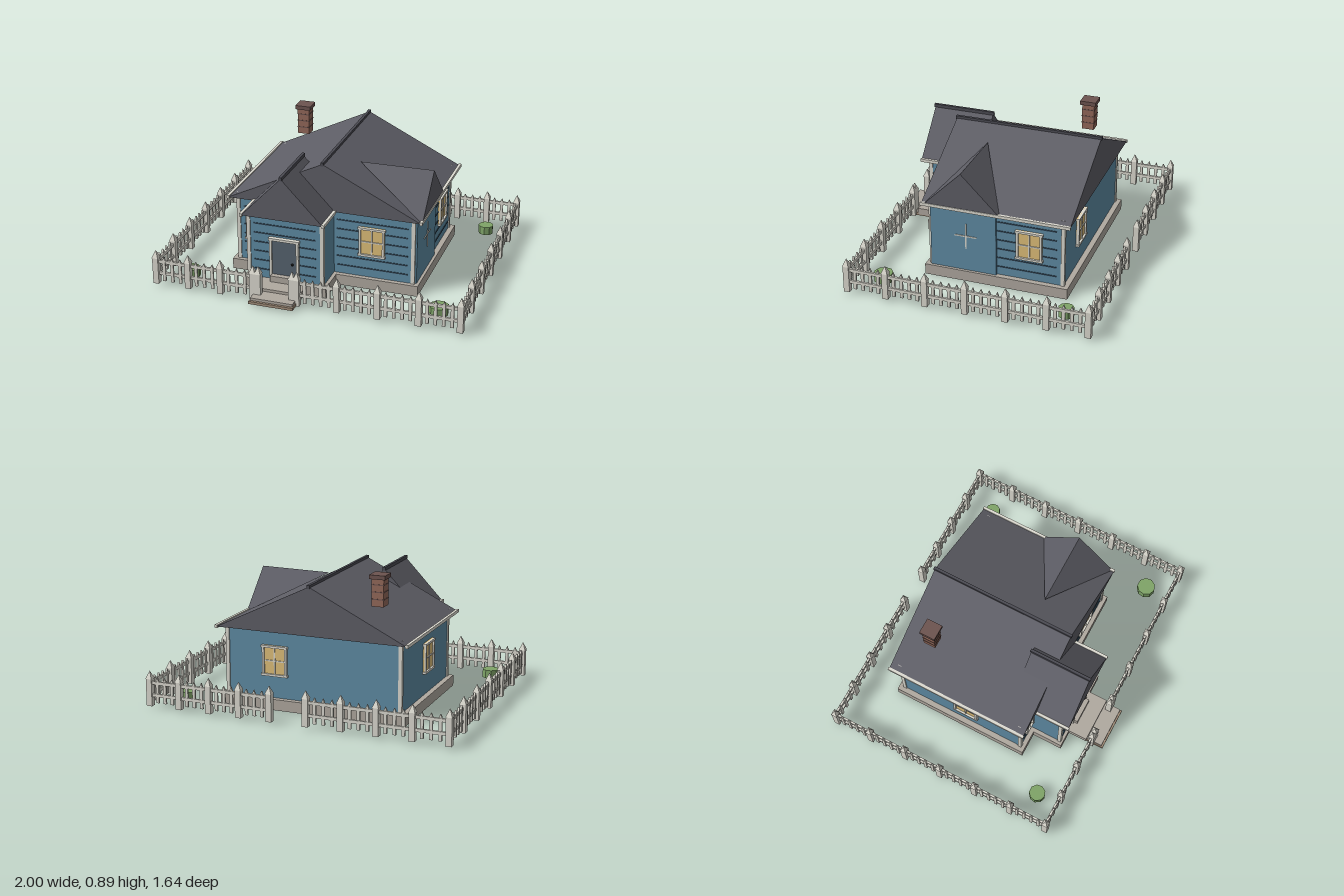
import * as THREE from 'three';

const mat = (color) => new THREE.MeshStandardMaterial({ color, flatShading: true });
const M = {
  wall: mat(0x5f8ca5), line: mat(0x34495a), trim: mat(0xdcdad0), glass: mat(0xe0c07a),
  stone: mat(0xb0a9a0), brick: mat(0x94695a), cap: mat(0x6d5450), roof: mat(0x5e5e66),
  ridge: mat(0x4a4a52), door: mat(0x566470), knob: mat(0x222222), plank: mat(0xa08c78),
  bush: mat(0x7fa468),
};
M.roof.side = THREE.DoubleSide;

const add = (parent, name, geo, material, x = 0, y = 0, z = 0) => {
  const mesh = new THREE.Mesh(geo, material);
  mesh.name = name;
  mesh.position.set(x, y, z);
  parent.add(mesh);
  return mesh;
};

// Box given by its min and max along each axis
const box = (parent, name, material, x0, x1, y0, y1, z0, z1) =>
  add(parent, name, new THREE.BoxGeometry(x1 - x0, y1 - y0, z1 - z0), material,
    (x0 + x1) / 2, (y0 + y1) / 2, (z0 + z1) / 2);

const group = (parent, name) => {
  const g = new THREE.Group();
  g.name = name;
  parent.add(g);
  return g;
};

// Gable roof: triangle extruded along z, with ridge cap and eave trims
function gableRoof(parent, name, xl, xr, xRidge, yEave, yRidge, z0, z1, trimZ0) {
  const g = group(parent, name);
  const tri = new THREE.Shape([
    new THREE.Vector2(xl, yEave), new THREE.Vector2(xr, yEave), new THREE.Vector2(xRidge, yRidge)]);
  add(g, 'roofSlopes', new THREE.ExtrudeGeometry(tri, { depth: z1 - z0, bevelEnabled: false }), M.roof, 0, 0, z0);
  box(g, 'ridgeCap', M.ridge, xRidge - 0.009, xRidge + 0.009, yRidge - 0.01, yRidge + 0.012, z0 - 0.006, z1 + 0.006);
  for (const x of [xl, xr])
    box(g, 'eaveTrim', M.trim, x - 0.009, x + 0.009, yEave - 0.008, yEave + 0.012, trimZ0 - 0.004, z1 + 0.004);
}

// Window facing +z, turned about y to suit its wall
function windowUnit(parent, x, y, z, w, h, turn = 0) {
  const g = group(parent, 'window');
  g.position.set(x, y, z);
  g.rotation.y = turn;
  const a = w / 2, b = h / 2, f = 0.014;
  box(g, 'glass', M.glass, -a, a, -b, b, -0.005, 0.006);
  for (const s of [-1, 1]) {
    add(g, 'frameSide', new THREE.BoxGeometry(f, h, 0.022), M.trim, s * (a - f / 2), 0, 0.006);
    add(g, 'frameRail', new THREE.BoxGeometry(w + 0.012, f, 0.026), M.trim, 0, s * (b - f / 2), 0.006);
  }
  box(g, 'muntinUpright', M.trim, -0.004, 0.004, -b, b, 0, 0.012);
  box(g, 'muntinBar', M.trim, -a, a, -0.004, 0.004, 0, 0.012);
}

// Square post with a pyramid top
function fencePost(parent, x, z) {
  box(parent, 'fencePost', M.trim, x - 0.019, x + 0.019, 0.015, 0.19, z - 0.019, z + 0.019);
  const top = new THREE.ConeGeometry(0.03, 0.05, 4);
  top.rotateY(Math.PI / 4);
  add(parent, 'postCap', top, M.trim, x, 0.215, z);
}

// Run of fence along local x: posts, two rails and pointed pickets
const picket = new THREE.ExtrudeGeometry(new THREE.Shape([
  [-0.01, 0.035], [0.01, 0.035], [0.01, 0.178], [0, 0.2], [-0.01, 0.178],
].map(([x, y]) => new THREE.Vector2(x, y))), { depth: 0.012, bevelEnabled: false });

function fenceRun(parent, x0, z0, x1, z1, bays) {
  const g = group(parent, 'fenceRun');
  const length = Math.hypot(x1 - x0, z1 - z0);
  g.position.set(x0, 0, z0);
  g.rotation.y = Math.atan2(z0 - z1, x1 - x0);
  for (const y of [0.085, 0.165]) box(g, 'fenceRail', M.trim, 0, length, y - 0.01, y + 0.01, -0.009, 0.005);
  const bay = length / bays, n = Math.round(bay / 0.053);
  for (let i = 0; i <= bays; i++) {
    fencePost(g, i * bay, 0);
    if (i < bays)
      for (let k = 1; k < n; k++) add(g, 'picket', picket, M.trim, (i + k / n) * bay, 0, -0.004);
  }
}

export function createModel() {
  const model = new THREE.Group();
  model.name = 'cottage';

  // Foundation and walls
  const house = group(model, 'house');
  box(house, 'foundation', M.stone, -0.615, 0.615, 0, 0.07, -0.555, 0.375);
  box(house, 'porchFoundation', M.stone, -0.455, 0.085, 0, 0.07, 0.3, 0.575);
  box(house, 'mainWalls', M.wall, -0.58, 0.58, 0.06, 0.502, -0.52, 0.345);
  box(house, 'porchWalls', M.wall, -0.43, 0.062, 0.06, 0.502, 0.3, 0.555);
  box(house, 'sideBay', M.wall, 0.5, 0.597, 0.06, 0.5, -0.09, 0.338);

  // Siding grooves
  for (let i = 0; i < 6; i++) {
    const y = 0.437 - i * 0.062, t = 0.004;
    box(house, 'siding', M.line, -0.39, 0.015, y - t, y + t, 0.55, 0.559);
    box(house, 'siding', M.line, 0.08, 0.54, y - t, y + t, 0.34, 0.349);
    box(house, 'siding', M.line, -0.54, -0.44, y - t, y + t, 0.34, 0.349);
    box(house, 'siding', M.line, 0.575, 0.584, y - t, y + t, -0.475, -0.085);
  }

  // Corner boards
  for (const [x, z, top] of [[-0.575, 0.34, 0.525], [0.575, 0.34, 0.5], [-0.575, -0.515, 0.525],
    [0.575, -0.515, 0.525], [-0.424, 0.55, 0.5], [0.056, 0.55, 0.5]])
    box(house, 'cornerBoard', M.trim, x - 0.012, x + 0.012, 0.07, top, z - 0.012, z + 0.012);

  // Roofs
  gableRoof(house, 'mainRoof', -0.63, 0.63, 0, 0.503, 0.81, -0.57, 0.385, -0.57);
  gableRoof(house, 'porchRoof', -0.452, 0.08, -0.187, 0.503, 0.78, 0.21, 0.61, 0.39);
  const inner = [0.16, 0.745, 0.12], peak = [0.635, 0.75, 0.12];
  const front = [0.635, 0.5, 0.372], back = [0.635, 0.5, -0.13];
  const sideGable = new THREE.BufferGeometry();
  sideGable.setAttribute('position', new THREE.Float32BufferAttribute(
    [inner, front, peak, inner, peak, back, peak, front, back].flat(), 3));
  sideGable.computeVertexNormals();
  add(house, 'sideGableRoof', sideGable, M.roof);

  // Windows; the bay shows only its crossed muntins
  windowUnit(house, 0.31, 0.315, 0.348, 0.165, 0.195);
  windowUnit(house, -0.478, 0.315, 0.348, 0.09, 0.195);
  windowUnit(house, 0.583, 0.31, -0.302, 0.165, 0.195, Math.PI / 2);
  windowUnit(house, -0.583, 0.31, -0.05, 0.165, 0.195, -Math.PI / 2);
  windowUnit(house, 0.25, 0.31, -0.523, 0.165, 0.195, Math.PI);
  box(house, 'bayMuntinUpright', M.trim, 0.59, 0.601, 0.22, 0.395, 0.101, 0.109);
  box(house, 'bayMuntinBar', M.trim, 0.59, 0.601, 0.304, 0.312, 0.035, 0.178);

  // Door
  const door = group(house, 'door');
  box(door, 'doorPanel', M.door, -0.275, -0.1, 0.11, 0.345, 0.55, 0.566);
  for (const x of [-0.275, -0.1]) box(door, 'doorFrameSide', M.trim, x - 0.008, x + 0.008, 0.07, 0.35, 0.55, 0.577);
  box(door, 'doorFrameTop', M.trim, -0.288, -0.087, 0.344, 0.36, 0.55, 0.582);
  add(door, 'doorKnob', new THREE.SphereGeometry(0.009, 8, 6), M.knob, -0.133, 0.195, 0.574);

  // Steps
  const steps = group(model, 'steps');
  box(steps, 'doorStep', M.stone, -0.272, -0.102, 0.05, 0.11, 0.55, 0.6);
  box(steps, 'landing', M.stone, -0.34, -0.04, 0.025, 0.07, 0.56, 0.7);
  box(steps, 'middleStep', M.stone, -0.325, -0.05, 0.035, 0.052, 0.7, 0.805);
  box(steps, 'lowerStep', M.plank, -0.332, -0.045, 0.015, 0.033, 0.62, 0.817);

  // Chimney
  const chimney = group(house, 'chimney');
  box(chimney, 'chimneyStack', M.brick, -0.425, -0.347, 0.69, 0.862, -0.42, -0.34);
  for (const y of [0.735, 0.78, 0.825])
    box(chimney, 'mortarBand', M.cap, -0.427, -0.345, y - 0.003, y + 0.003, -0.422, -0.338);
  box(chimney, 'chimneyCap', M.cap, -0.437, -0.335, 0.86, 0.886, -0.432, -0.328);

  // Fence with gaps at the front path and the back
  const fence = group(model, 'fence');
  fenceRun(fence, -0.98, 0.735, -0.33, 0.735, 3);
  fenceRun(fence, -0.045, 0.735, 0.98, 0.735, 4);
  fenceRun(fence, -0.98, -0.8, -0.08, -0.8, 4);
  fenceRun(fence, 0.16, -0.8, 0.98, -0.8, 4);
  for (const x of [-0.98, 0.98]) fenceRun(fence, x, -0.8, x, 0.735, 6);
  for (const x of [-0.295, -0.075]) fencePost(fence, x, 0.735);

  // Bushes
  for (const [x, z, r] of [[-0.805, 0.585, 0.053], [0.805, 0.573, 0.06], [0.815, -0.613, 0.049]])
    add(model, 'bush', new THREE.CylinderGeometry(r, r, 0.055, 9), M.bush, x, 0.05, z);

  return model;
}
